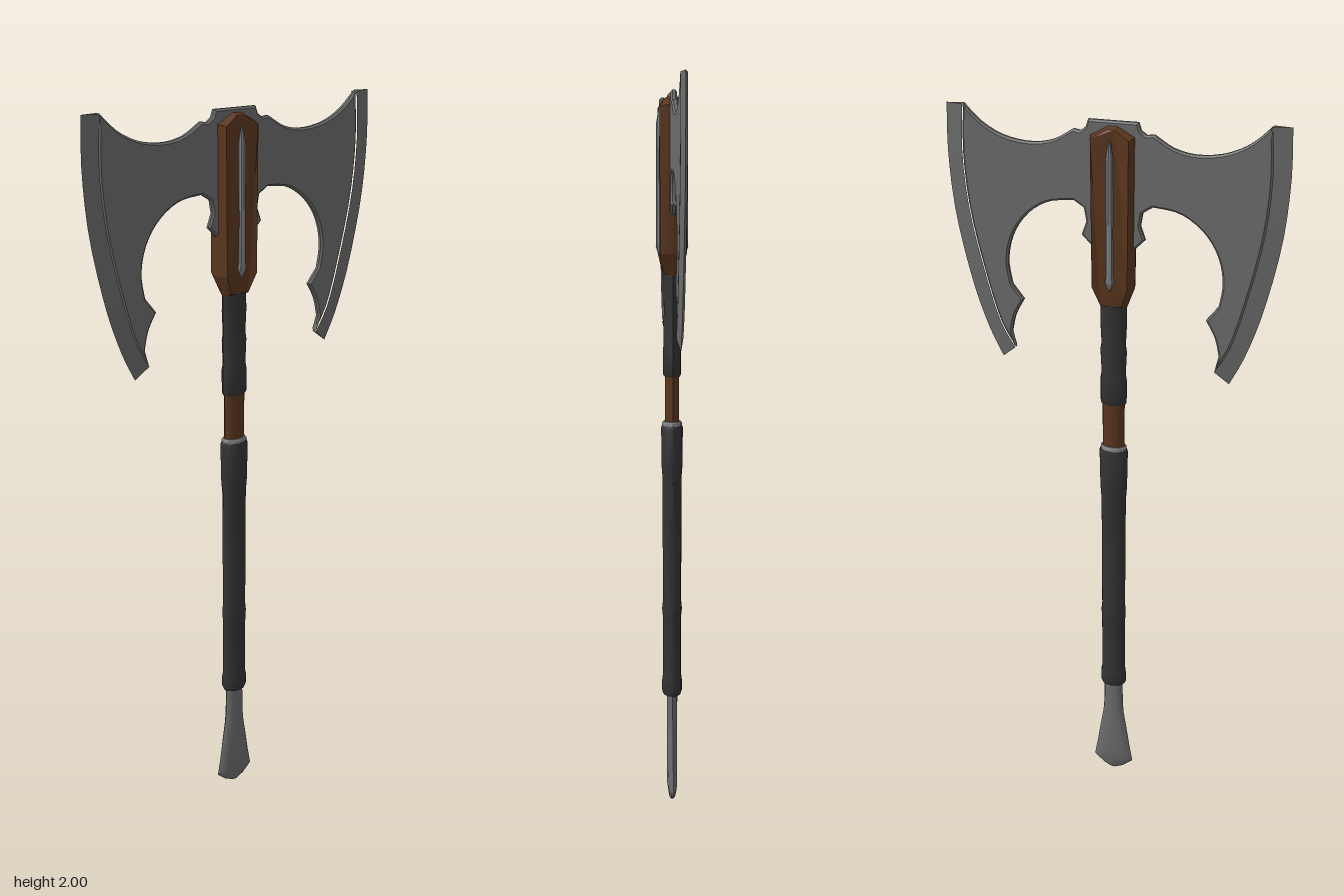
import * as THREE from 'three';
import { toCreasedNormals } from 'three/addons/utils/BufferGeometryUtils.js';

const mat = (name, color) => Object.assign(new THREE.MeshStandardMaterial({ color }), { name });

export function createModel() {
  const steel = mat('steel', 0x6c6c6c);
  const wood = mat('brown wood', 0x5a361d);
  const leather = mat('dark leather', 0x333333);
  const inlay = mat('pale steel', 0x7b7d80);

  const axe = new THREE.Group();
  axe.name = 'doubleAxe';
  const add = (name, geometry, material, crease = 0.7) => {
    const mesh = new THREE.Mesh(toCreasedNormals(geometry, crease), material);
    mesh.name = name;
    axe.add(mesh);
    return mesh;
  };

  // Closed elliptical column from rows of [y, x radius, z radius], bottom to top
  const column = (rows, sides = 12) => {
    const first = rows[0], last = rows[rows.length - 1];
    const all = [[first[0], 0, 0], ...rows, [last[0], 0, 0]];
    const geo = new THREE.LatheGeometry(all.map(([y, rx]) => new THREE.Vector2(rx, y)), sides);
    const p = geo.attributes.position;
    for (let i = 0; i < p.count; i++) {
      const [, rx, rz] = all[i % all.length];
      if (rx > 0) p.setZ(i, p.getZ(i) * rz / rx);
    }
    return geo;
  };
  const vec = ([x, y]) => new THREE.Vector2(x, y);
  const smooth = (pts, n) => new THREE.SplineCurve(pts.map(vec)).getPoints(n);

  // Pommel, shaft and grips
  add('pommel', column([
    [0.005, 0.012, 0.006], [0.015, 0.033, 0.009], [0.038, 0.06, 0.012], [0.05, 0.058, 0.014],
    [0.09, 0.051, 0.015], [0.15, 0.042, 0.015], [0.21, 0.032, 0.015], [0.25, 0.029, 0.015],
    [0.34, 0.028, 0.015],
  ]), steel);
  add('shaft', column([[0.33, 0.03, 0.019], [1.53, 0.032, 0.02]]), wood);
  add('lowerGrip', column([
    [0.32, 0.034, 0.025], [0.33, 0.038, 0.028], [0.36, 0.038, 0.028], [0.375, 0.035, 0.026],
    [0.55, 0.0355, 0.026], [0.57, 0.037, 0.028], [0.59, 0.035, 0.026], [0.8, 0.035, 0.026],
    [0.94, 0.036, 0.026], [0.98, 0.039, 0.029], [1.085, 0.041, 0.03], [1.092, 0.038, 0.028],
  ]), leather);
  add('gripCollar', column([[1.085, 0.037, 0.027], [1.1, 0.037, 0.027], [1.104, 0.034, 0.024]]), inlay);
  add('upperGrip', column([
    [1.228, 0.034, 0.022], [1.235, 0.037, 0.025], [1.3, 0.037, 0.025], [1.315, 0.034, 0.023],
    [1.38, 0.037, 0.024], [1.4, 0.034, 0.022], [1.46, 0.037, 0.023], [1.51, 0.036, 0.023],
  ]), leather);

  // Wooden head block, thickest on its centre plane and narrowing to the shaft
  const mirrored = (half) => new THREE.Shape(
    [...half.map(vec), ...half.map(([x, y]) => new THREE.Vector2(-x, y)).reverse()]);
  const head = new THREE.ExtrudeGeometry(
    mirrored([[0.035, 1.5], [0.058, 1.56], [0.06, 1.95], [0.012, 1.977]]),
    { depth: 0.002, bevelThickness: 0.035, bevelSize: 0.01, bevelOffset: -0.01, bevelSegments: 1 });
  head.translate(0, 0, -0.001);
  const hp = head.attributes.position;
  for (let i = 0; i < hp.count; i++) {
    const y = hp.getY(i);
    if (y < 1.54) hp.setZ(i, hp.getZ(i) * 0.7);
    if (y > 1.955) hp.setZ(i, hp.getZ(i) * 0.65);
  }
  add('headBlock', head, wood, 0.3);

  // Pointed ridge on each face of the head
  for (const [side, name] of [[1, 'frontRidge'], [-1, 'backRidge']]) {
    const ridge = add(name, column([
      [1.555, 0.002, 0.002], [1.58, 0.013, 0.01], [1.595, 0.01, 0.009],
      [1.9, 0.01, 0.009], [1.945, 0.002, 0.002],
    ], 8), inlay);
    ridge.position.z = side * 0.034;
  }

  // Blade plate, outlined on one side from the top round to the underside
  const edgeOuter = smooth([[0.447, 2], [0.45, 1.87], [0.436, 1.71], [0.397, 1.53], [0.355, 1.405], [0.316, 1.325]], 16);
  const edgeInner = smooth([[0.4, 2], [0.406, 1.87], [0.392, 1.72], [0.355, 1.555], [0.318, 1.43], [0.277, 1.357]], 16);
  const outline = [
    ...[[0.065, 1.985], [0.072, 1.965], [0.087, 1.955], [0.105, 1.958]].map(vec),
    ...smooth([[0.115, 1.952], [0.16, 1.927], [0.22, 1.917], [0.29, 1.927], [0.35, 1.956], [0.399, 2]], 16),
    ...edgeInner,
    ...smooth([[0.287, 1.4], [0.275, 1.45], [0.25, 1.495]], 6),
    ...smooth([[0.282, 1.535], [0.291, 1.6], [0.275, 1.67], [0.235, 1.728], [0.175, 1.767], [0.105, 1.777]], 18),
    ...[[0.078, 1.76], [0.072, 1.725], [0.085, 1.69], [0.06, 1.665]].map(vec),
  ].map((v) => [v.x, v.y]);
  const plate = new THREE.ExtrudeGeometry(mirrored(outline), {
    depth: 0.008, bevelThickness: 0.005, bevelSize: 0.005, bevelOffset: -0.005, bevelSegments: 1,
  });
  plate.translate(0, 0, -0.004);
  add('bladePlate', plate, steel);

  // Cutting edge: a wedge swept down the outer curve
  const t = 0.009, verts = [], index = [], n = edgeOuter.length;
  for (let i = 0; i < n; i++) {
    const a = edgeInner[i], b = edgeOuter[i];
    verts.push(a.x, a.y, t, b.x, b.y, 0, a.x, a.y, -t);
    if (i === n - 1) continue;
    const k = i * 3, m = k + 3;
    index.push(k, m, m + 1, k, m + 1, k + 1);
    index.push(k + 2, k + 1, m + 1, k + 2, m + 1, m + 2);
  }
  const e = (n - 1) * 3;
  index.push(0, 1, 2, e + 2, e + 1, e);
  const wedge = new THREE.BufferGeometry();
  wedge.setAttribute('position', new THREE.Float32BufferAttribute(verts, 3));
  wedge.setIndex(index);
  add('leftCuttingEdge', wedge, steel, 0.3);
  add('rightCuttingEdge', wedge, steel, 0.3).rotation.y = Math.PI;

  return axe;
}
